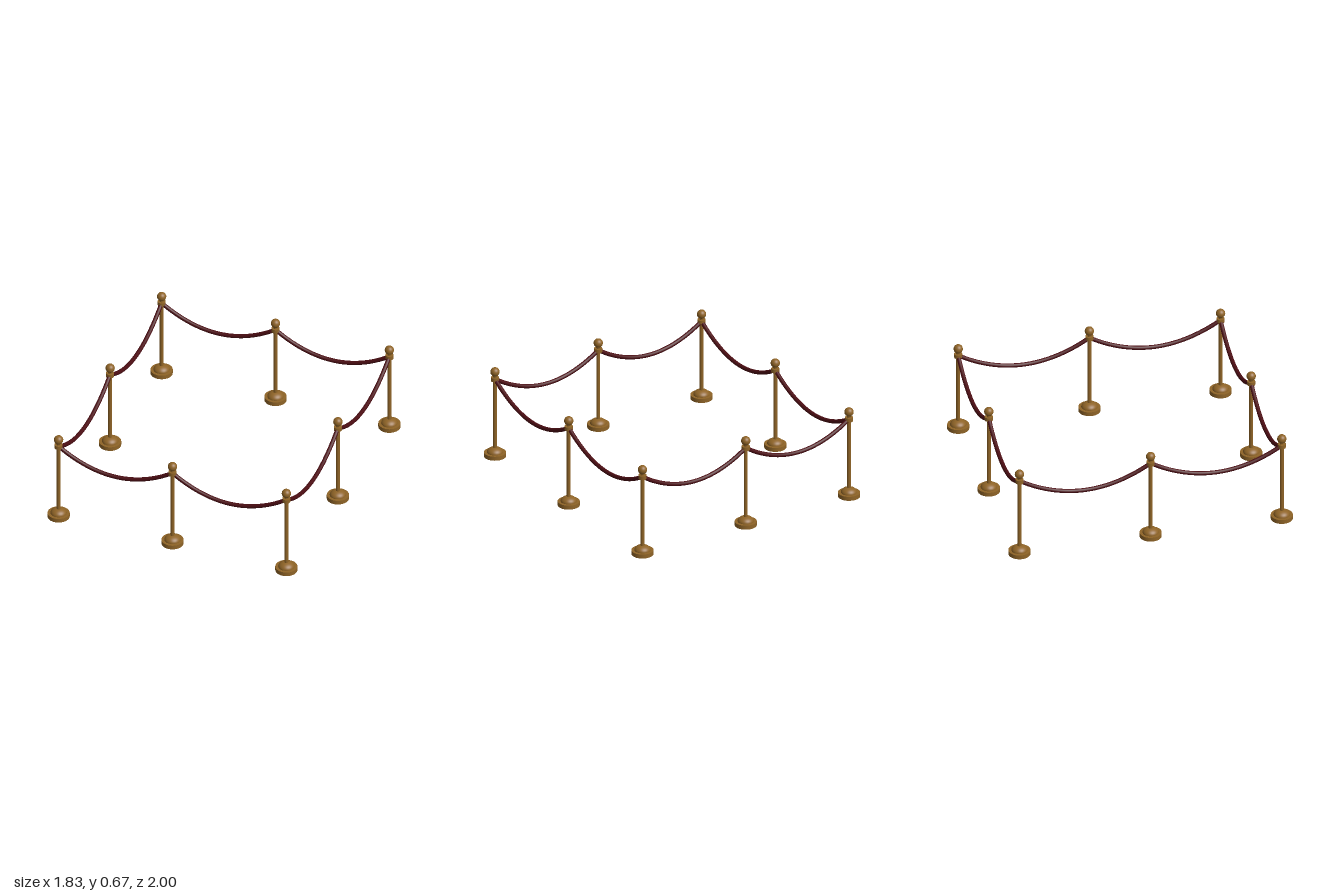
import * as THREE from 'three';

const HALF_X = 0.84, HALF_Z = 0.924;
const ROPE_END = 0.582, ROPE_LOW = 0.439, ROPE_RADIUS = 0.0145;

const brass = new THREE.MeshStandardMaterial({ color: 0x8f6427 });
const velvet = new THREE.MeshStandardMaterial({ color: 0x4c0d13 });

function addPart(group, name, geometry, y) {
  const mesh = new THREE.Mesh(geometry, brass);
  mesh.name = name;
  mesh.position.y = y;
  group.add(mesh);
}

// One stanchion: stepped foot, slim pole, collar and ball finial
function createPost() {
  const post = new THREE.Group();
  post.name = 'post';
  addPart(post, 'basePlate', new THREE.CylinderGeometry(0.076, 0.076, 0.03, 32), 0.015);
  const dome = new THREE.SphereGeometry(0.056, 32, 10, 0, Math.PI * 2, 0, Math.PI / 2);
  dome.scale(1, 0.66, 1);
  addPart(post, 'baseDome', dome, 0.03);
  addPart(post, 'pole', new THREE.CylinderGeometry(0.0135, 0.0135, 0.55, 20), 0.305);
  addPart(post, 'collar', new THREE.CylinderGeometry(0.028, 0.028, 0.028, 24), 0.583);
  addPart(post, 'neck', new THREE.CylinderGeometry(0.014, 0.014, 0.02, 20), 0.603);
  addPart(post, 'ballFinial', new THREE.SphereGeometry(0.032, 28, 18), 0.636);
  return post;
}

// Rope sagging in a parabola between two neighbouring posts
function createRope([x0, z0], [x1, z1]) {
  const points = [];
  for (let i = 0; i <= 12; i++) {
    const t = i / 12;
    points.push(new THREE.Vector3(
      THREE.MathUtils.lerp(x0, x1, t),
      ROPE_END - (ROPE_END - ROPE_LOW) * 4 * t * (1 - t),
      THREE.MathUtils.lerp(z0, z1, t)
    ));
  }
  const curve = new THREE.CatmullRomCurve3(points);
  const rope = new THREE.Mesh(new THREE.TubeGeometry(curve, 40, ROPE_RADIUS, 14), velvet);
  rope.name = 'rope';
  return rope;
}

export function createModel() {
  const model = new THREE.Group();
  model.name = 'ropeBarrier';

  // Posts at corners and side midpoints, in order around the rectangle
  const spots = [[-1, -1], [0, -1], [1, -1], [1, 0], [1, 1], [0, 1], [-1, 1], [-1, 0]]
    .map(([x, z]) => [x * HALF_X, z * HALF_Z]);

  spots.forEach((spot, i) => {
    const post = createPost();
    post.position.set(spot[0], 0, spot[1]);
    model.add(post, createRope(spot, spots[(i + 1) % spots.length]));
  });
  return model;
}
